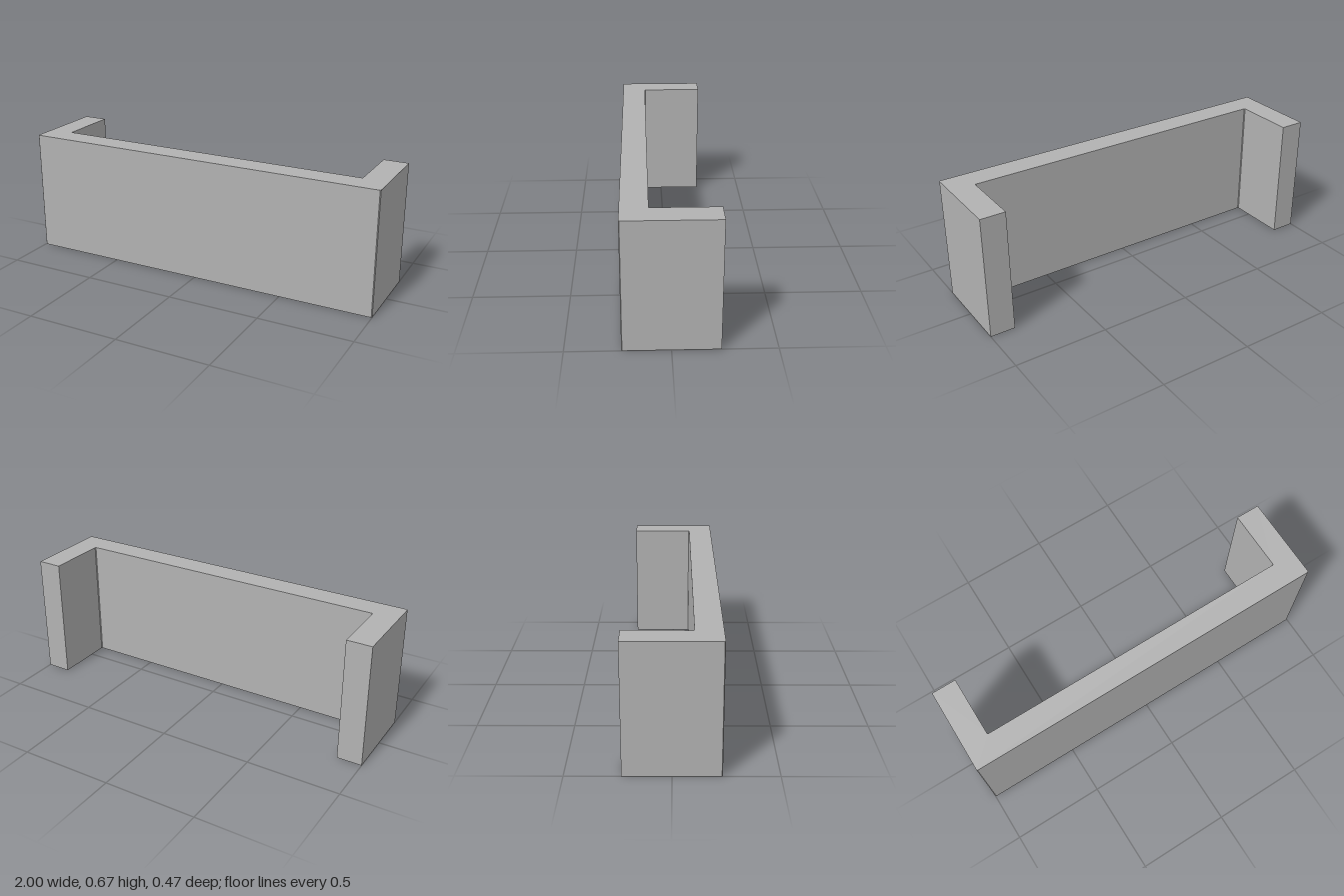
import * as THREE from 'three';

export function createModel() {
  const model = new THREE.Group();
  const grey = new THREE.MeshStandardMaterial({ color: 0xb2b2b2 });
  grey.name = 'plain grey';

  const halfWidth = 1, halfDepth = 0.2333, wall = 0.1333, height = 0.6667;
  const chamfer = 0.004; // tiny cut on the front and inner corners

  // U-shaped plan of the right half (shape y becomes -z), then mirrored
  const inner = halfWidth - wall;
  const innerY = -halfDepth + wall;
  const half = [
    [halfWidth - chamfer, -halfDepth],
    [halfWidth, -halfDepth + chamfer],
    [halfWidth, halfDepth],
    [inner, halfDepth],
    [inner, innerY + chamfer],
    [inner - chamfer, innerY],
  ];
  const mirrored = half.map(([x, y]) => [-x, y]).reverse();
  const plan = new THREE.Shape([...half, ...mirrored].map(([x, y]) => new THREE.Vector2(x, y)));

  // Front panel and two returning side walls as one solid
  const geometry = new THREE.ExtrudeGeometry(plan, { depth: height, bevelEnabled: false });
  geometry.rotateX(-Math.PI / 2);
  const panel = new THREE.Mesh(geometry, grey);
  panel.name = 'channelPanel';
  model.add(panel);
  return model;
}
